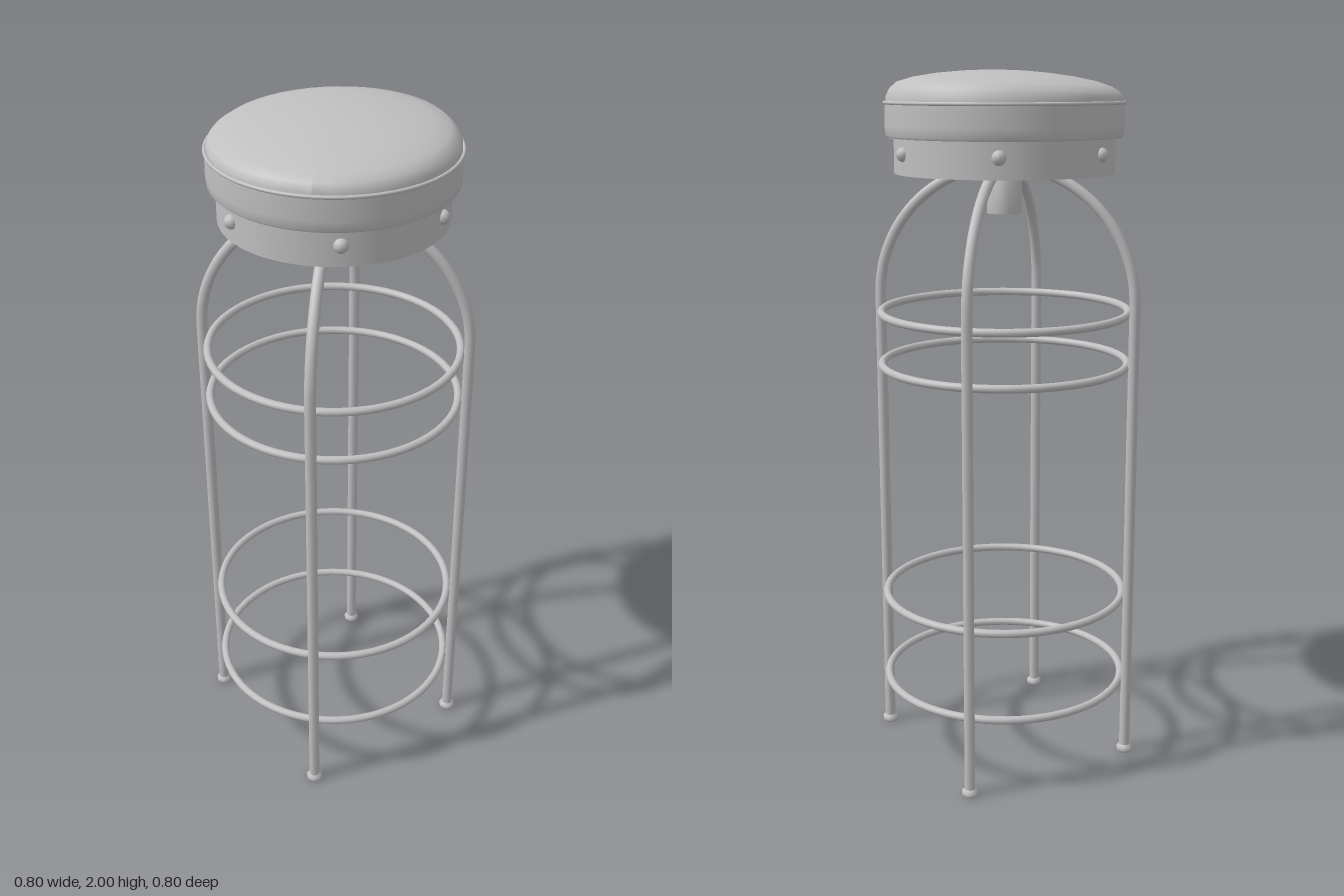
import * as THREE from 'three';

export function createModel() {
  const stool = new THREE.Group();
  stool.name = 'barStool';
  const grey = new THREE.MeshStandardMaterial({ color: 0xc0c0c0, side: THREE.DoubleSide });
  grey.name = 'plainGrey';

  function add(name, geometry, x = 0, y = 0, z = 0, parent = stool) {
    const mesh = new THREE.Mesh(geometry, grey);
    mesh.name = name;
    mesh.position.set(x, y, z);
    parent.add(mesh);
    return mesh;
  }
  const lathe = (points, sides = 48) =>
    new THREE.LatheGeometry(points.map(([r, y]) => new THREE.Vector2(r, y)), sides);
  const ring = (name, radius, tube, y) =>
    add(name, new THREE.TorusGeometry(radius, tube, 10, 64).rotateX(Math.PI / 2), 0, y, 0);

  // Padded top, slightly fuller towards the back left
  const dome = lathe([[0.327, 1.912], [0.326, 1.928], [0.316, 1.945], [0.295, 1.96],
    [0.25, 1.974], [0.19, 1.985], [0.12, 1.993], [0.06, 1.997], [0, 1.998]]);
  const p = dome.attributes.position;
  for (let i = 0; i < p.count; i++) {
    const lift = Math.min(1, Math.max(0, (p.getY(i) - 1.92) / 0.04));
    p.setY(i, Math.min(2, p.getY(i) + 0.02 * lift * (p.getX(i) - p.getZ(i))));
  }
  dome.computeVertexNormals();
  add('cushionTop', dome);

  // Cushion side, underside and seam
  add('cushionSide', lathe([[0.322, 1.818], [0.329, 1.825], [0.331, 1.85], [0.33, 1.912]]));
  add('seatBase', new THREE.CylinderGeometry(0.323, 0.323, 0.004, 48), 0, 1.82, 0);
  ring('cushionSeam', 0.33, 0.005, 1.912);

  // Hollow metal band with six rivets
  add('seatBand', new THREE.CylinderGeometry(0.307, 0.307, 0.097, 48, 1, true), 0, 1.77, 0);
  for (let i = 0; i < 6; i++) {
    const a = THREE.MathUtils.degToRad(12.5 + i * 60);
    add('rivet', new THREE.SphereGeometry(0.02, 12, 8), 0.305 * Math.sin(a), 1.778, 0.305 * Math.cos(a));
  }

  // Central swivel post
  add('swivelPost', lathe([[0.04, 1.75], [0.04, 1.61], [0.049, 1.61], [0.049, 1.75], [0, 1.75]], 24));
  add('swivelScrew', new THREE.CylinderGeometry(0.025, 0.025, 0.08, 16), 0, 1.785, 0);

  // Four legs arching in to the post, each with a foot
  const path = new THREE.CurvePath();
  path.add(new THREE.LineCurve3(new THREE.Vector3(0.376, 0.01, 0), new THREE.Vector3(0.376, 1.365, 0)));
  const arc = [];
  for (let i = 0; i <= 12; i++) {
    const a = (i / 12) * 1.5;
    arc.push(new THREE.Vector3(0.376 * Math.cos(a), 1.365 + 0.376 * Math.sin(a), 0));
  }
  path.add(new THREE.CatmullRomCurve3(arc));
  const legGeometry = new THREE.TubeGeometry(path, 80, 0.0155, 10);
  const footGeometry = lathe([[0, 0], [0.021, 0], [0.024, 0.005], [0.024, 0.014], [0.016, 0.022]], 8);
  for (let i = 0; i < 4; i++) {
    const leg = new THREE.Group();
    leg.name = 'leg';
    leg.rotation.y = i * Math.PI / 2;
    add('legTube', legGeometry, 0, 0, 0, leg);
    add('foot', footGeometry, 0.376, 0, 0, leg);
    stool.add(leg);
  }

  // Bracing rings
  for (const y of [0.227, 0.489, 1.183, 1.333]) ring('braceRing', 0.352, 0.0115, y);

  return stool;
}
